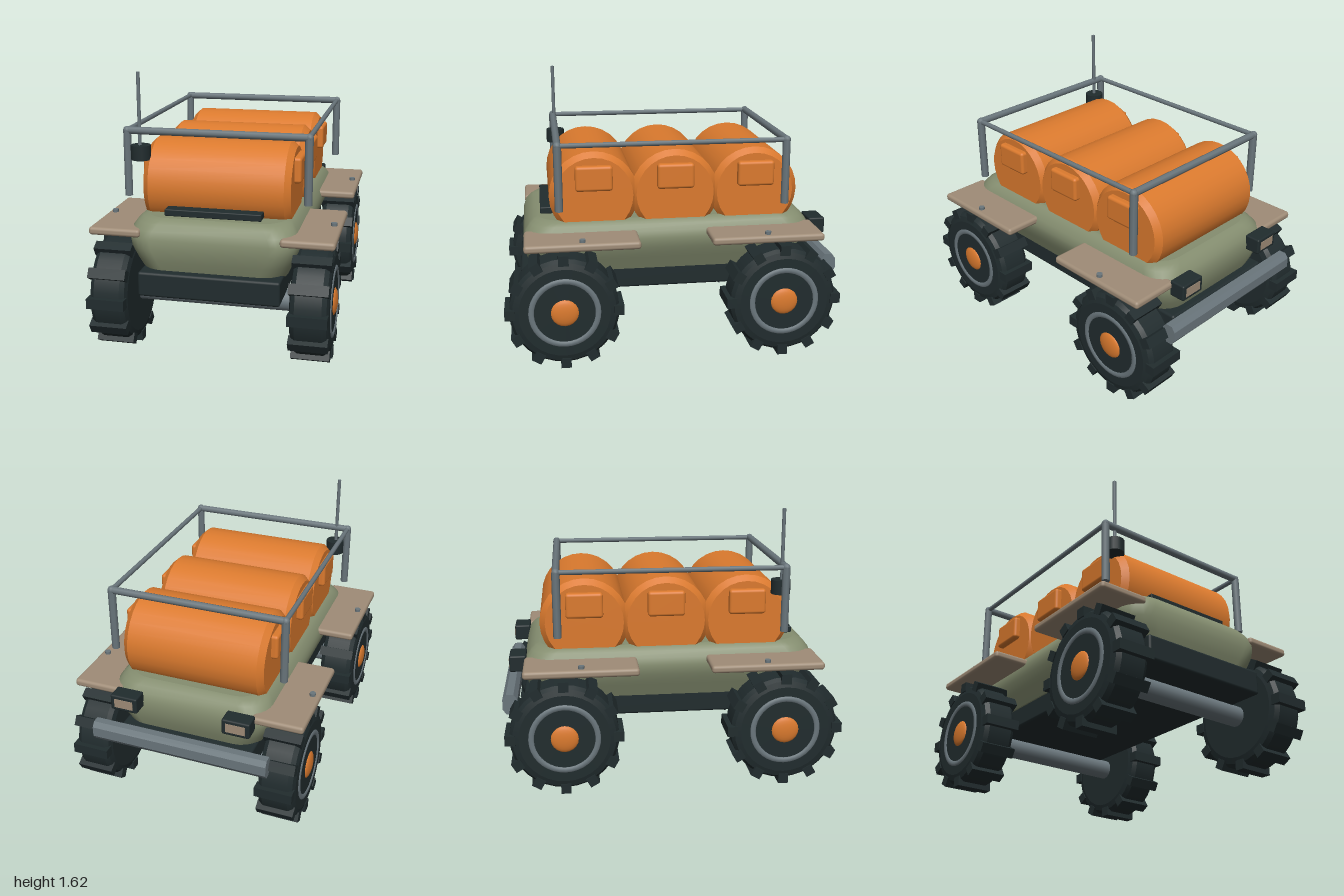
import * as THREE from 'three';
import { RoundedBoxGeometry } from 'three/addons/geometries/RoundedBoxGeometry.js';

const paint = (name, color, flatShading = false) => {
  const m = new THREE.MeshStandardMaterial({ color });
  m.name = name;
  m.flatShading = flatShading;
  return m;
};

// Closed hull from rounded-rectangle rings: [y, half width, half length]
function hullGeometry(rings, radius, perCorner = 7) {
  const pos = [], idx = [];
  const n = perCorner * 4;
  const addRing = ([y, hx, hz]) => {
    const start = pos.length / 3;
    for (let c = 0; c < 4; c++) {
      const sx = c === 0 || c === 3 ? 1 : -1, sz = c < 2 ? 1 : -1;
      for (let k = 0; k < perCorner; k++) {
        const a = (c + k / (perCorner - 1)) * Math.PI / 2;
        pos.push(sx * (hx - radius) + radius * Math.cos(a), y, sz * (hz - radius) + radius * Math.sin(a));
      }
    }
    return start;
  };
  const starts = rings.map(addRing);
  for (let i = 0; i < starts.length - 1; i++) {
    for (let j = 0; j < n; j++) {
      const k = (j + 1) % n;
      const a = starts[i] + j, b = starts[i] + k, c = starts[i + 1] + j, d = starts[i + 1] + k;
      idx.push(a, c, b, b, c, d);
    }
  }
  // separate cap vertices keep the rims sharp
  for (const [ring, up] of [[rings[0], false], [rings.at(-1), true]]) {
    const s = addRing(ring), mid = pos.length / 3;
    pos.push(0, ring[0], 0);
    for (let j = 0; j < n; j++) {
      const k = (j + 1) % n;
      idx.push(mid, s + (up ? k : j), s + (up ? j : k));
    }
  }
  const g = new THREE.BufferGeometry();
  g.setAttribute('position', new THREE.Float32BufferAttribute(pos, 3));
  g.setIndex(idx);
  g.computeVertexNormals();
  return g;
}

// Lathe whose axis lies along x; doubled points give crisp edges
function latheX(points, sides) {
  const crisp = points.flatMap(([r, h]) => [new THREE.Vector2(r, h), new THREE.Vector2(r, h)]);
  return new THREE.LatheGeometry(crisp, sides).rotateZ(-Math.PI / 2);
}

export function createModel() {
  const orange = paint('orange', 0xdb7a2e);
  const green = paint('sage green', 0x858e70);
  const tan = paint('tan', 0x9f8c77);
  const grey = paint('steel grey', 0x6a767c);
  const dark = paint('dark rubber', 0x212c2e);
  const darkFlat = dark;

  const model = new THREE.Group();
  model.name = 'rover';
  const add = (parent, name, geo, mat, x = 0, y = 0, z = 0) => {
    const m = new THREE.Mesh(geo, mat);
    m.name = name;
    m.position.set(x, y, z);
    parent.add(m);
    return m;
  };
  const rod = (name, a, b, r, mat, sides = 8) => {
    const A = new THREE.Vector3(...a), B = new THREE.Vector3(...b), dir = B.clone().sub(A);
    const m = add(model, name, new THREE.CylinderGeometry(r, r, dir.length(), sides), mat);
    m.position.copy(A).add(B).multiplyScalar(0.5);
    m.quaternion.setFromUnitVectors(new THREE.Vector3(0, 1, 0), dir.normalize());
    return m;
  };

  // Body and chassis
  add(model, 'body', hullGeometry([
    [0.5, 0.42, 0.83], [0.58, 0.455, 0.86], [0.65, 0.485, 0.875], [0.71, 0.495, 0.875],
    [0.755, 0.48, 0.862], [0.79, 0.457, 0.835], [0.81, 0.435, 0.81], [0.818, 0.41, 0.785],
  ], 0.15), green, 0, 0, 0.005);
  add(model, 'chassis', new RoundedBoxGeometry(0.82, 0.145, 1.78, 2, 0.015), dark, 0, 0.449, 0.01);
  add(model, 'frontVent', new RoundedBoxGeometry(0.56, 0.04, 0.1, 2, 0.006), dark, 0, 0.845, 0.725);

  // Wheels and axles
  const tyreGeo = latheX([
    [0, -0.11], [0.265, -0.11], [0.3, -0.1], [0.318, -0.075],
    [0.318, 0.075], [0.3, 0.1], [0.265, 0.11], [0, 0.11],
  ], 32);
  const lugGeo = new THREE.BoxGeometry(0.222, 0.06, 0.06);
  const ringGeo = new THREE.TorusGeometry(0.193, 0.018, 8, 36).rotateY(Math.PI / 2).scale(0.5, 1, 1);
  const hubGeo = new THREE.SphereGeometry(0.083, 20, 12).rotateZ(Math.PI / 2).scale(0.3, 1, 1);
  for (const z of [0.655, -0.642]) {
    rod('axle', [-0.5, 0.328, z], [0.5, 0.328, z], 0.062, grey, 16);
    for (const side of [1, -1]) {
      const wheel = new THREE.Group();
      wheel.name = 'wheel';
      wheel.position.set(side * 0.575, 0.344, z);
      model.add(wheel);
      add(wheel, 'tyre', tyreGeo, dark);
      for (let i = 0; i < 12; i++) {
        const a = i * Math.PI / 6;
        const lug = add(wheel, 'treadLug', lugGeo, darkFlat, 0, 0.314 * Math.cos(a), 0.314 * Math.sin(a));
        lug.rotation.x = a;
      }
      add(wheel, 'rimRing', ringGeo, grey, side * 0.108);
      add(wheel, 'hubCap', hubGeo, orange, side * 0.105);
    }
  }

  // Fenders with bolts
  const fenderGeo = new RoundedBoxGeometry(0.305, 0.046, 0.665, 3, 0.018);
  const boltGeo = new THREE.CylinderGeometry(0.018, 0.018, 0.03, 12);
  for (const side of [1, -1]) {
    for (const end of [1, -1]) {
      add(model, 'fender', fenderGeo, tan, side * 0.552, 0.737, end * 0.54 + 0.003);
      add(model, 'fenderBolt', boltGeo, grey, side * 0.66, 0.762, end * 0.54 + 0.003);
    }
  }

  // Cargo drums with end plates
  const drumGeo = latheX([
    [0, -0.43], [0.232, -0.43], [0.264, -0.395], [0.264, 0.395], [0.232, 0.43], [0, 0.43],
  ], 28);
  const plateGeo = new RoundedBoxGeometry(0.06, 0.15, 0.22, 3, 0.018);
  for (const z of [0.458, -0.025, -0.508]) {
    add(model, 'cargoDrum', drumGeo, orange, 0, 0.962, z);
    for (const side of [1, -1]) add(model, 'drumEndPlate', plateGeo, orange, side * 0.439, 1.075, z);
  }

  // Roof rack
  const rx = 0.525, ry = 1.29, rz = 0.667;
  const jointGeo = new THREE.SphereGeometry(0.024, 10, 8);
  for (const s of [1, -1]) {
    rod('rackSideBar', [s * rx, ry, -rz], [s * rx, ry, rz], 0.015, grey);
    rod('rackCrossBar', [-rx, ry, s * rz], [rx, ry, s * rz], 0.022, grey);
    for (const e of [1, -1]) {
      rod('rackPost', [s * rx, 0.906, e * rz], [s * rx, ry, e * rz], 0.024, grey);
      add(model, 'rackJoint', jointGeo, grey, s * rx, ry, e * rz);
    }
  }

  // Antenna
  rod('antennaBase', [-0.45, 1.12, 0.655], [-0.45, 1.205, 0.655], 0.058, dark, 16);
  rod('antennaMast', [-0.453, 1.15, 0.66], [-0.453, 1.624, 0.66], 0.011, grey);

  // Rear bumper: beveled bar
  const bumperShape = new THREE.Shape([
    [-0.044, -0.03], [-0.022, -0.06], [0.022, -0.06], [0.044, -0.03],
    [0.044, 0.03], [0.022, 0.06], [-0.022, 0.06], [-0.044, 0.03],
  ].map(([x, y]) => new THREE.Vector2(x, y)));
  const bumperGeo = new THREE.ExtrudeGeometry(bumperShape, { depth: 1.07, bevelEnabled: false });
  bumperGeo.translate(0, 0, -0.535).rotateY(Math.PI / 2);
  add(model, 'rearBumper', bumperGeo, grey, 0, 0.512, -0.955);

  // Rear lamps
  const lampGeo = new RoundedBoxGeometry(0.165, 0.098, 0.1, 2, 0.01);
  const lensGeo = new THREE.BoxGeometry(0.115, 0.055, 0.008);
  for (const side of [1, -1]) {
    add(model, 'rearLamp', lampGeo, dark, side * 0.342, 0.723, -0.907);
    add(model, 'rearLampLens', lensGeo, tan, side * 0.342, 0.723, -0.956);
  }
  return model;
}
